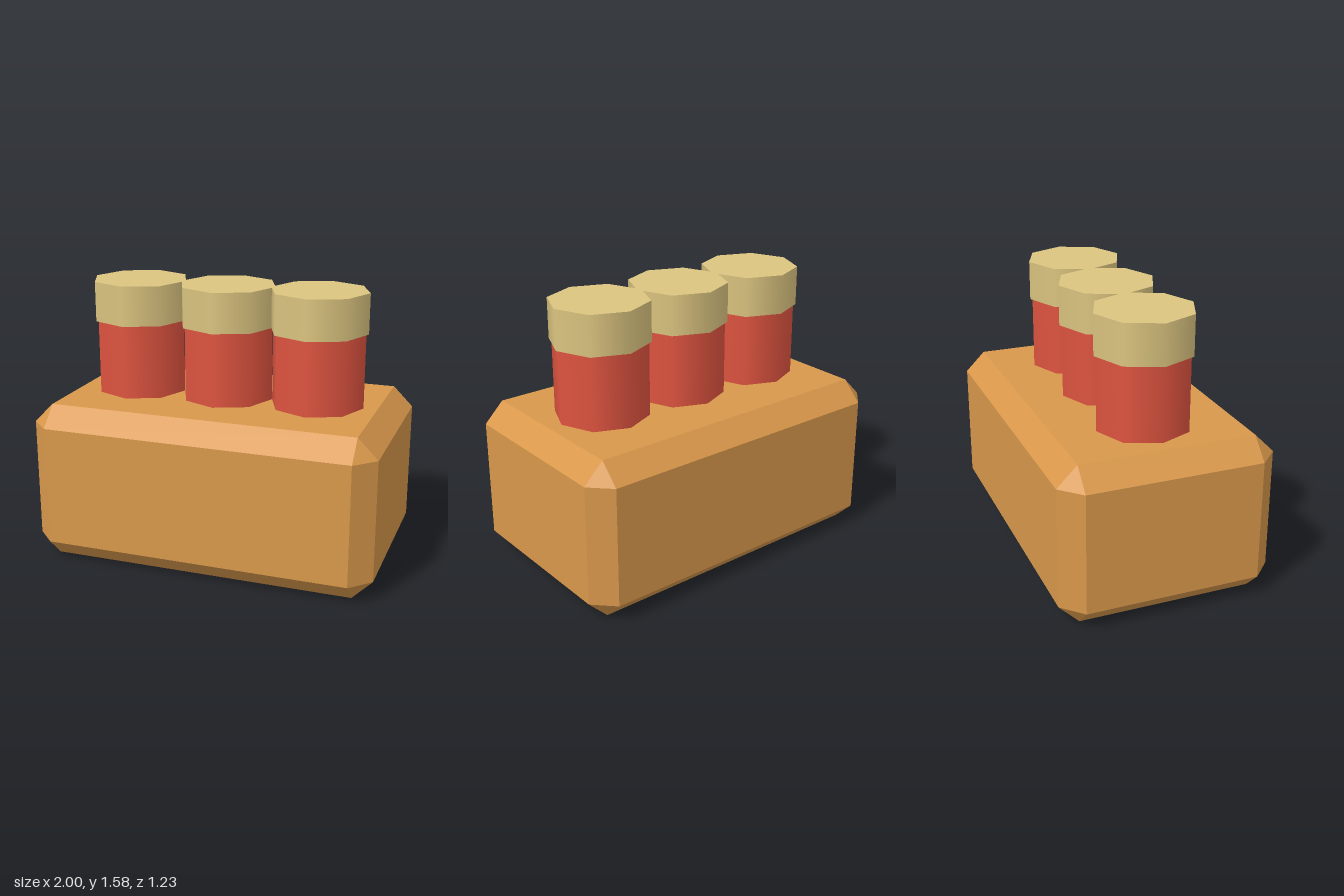
import * as THREE from 'three';
import { ConvexGeometry } from 'three/addons/geometries/ConvexGeometry.js';

function material(name, color) {
  const m = new THREE.MeshStandardMaterial({ color });
  m.name = name;
  return m;
}

// Box with a flat chamfer on every edge and a triangle at every corner
function chamferedBox(w, h, d, c) {
  const points = [];
  for (const x of [-1, 1]) for (const y of [-1, 1]) for (const z of [-1, 1]) {
    for (const [a, b, e] of [[0, c, c], [c, 0, c], [c, c, 0]]) {
      points.push(new THREE.Vector3(x * (w / 2 - a), y * (h / 2 - b), z * (d / 2 - e)));
    }
  }
  return new ConvexGeometry(points);
}

export function createModel() {
  const model = new THREE.Group();
  model.name = 'blockWithCappedPegs';

  const orange = material('orangeBrown', 0xd9984b);
  const red = material('red', 0xdf5440);
  const beige = material('beige', 0xdcc580);

  const add = (name, geometry, mat, x, y, parent = model) => {
    const mesh = new THREE.Mesh(geometry, mat);
    mesh.name = name;
    mesh.position.set(x, y, 0);
    parent.add(mesh);
  };

  // Chamfered base block
  add('baseBlock', chamferedBox(2, 0.923, 1.228, 0.115), orange, 0, 0.4615);

  // Row of eight-sided smooth pegs with slightly wider caps
  const stem = new THREE.CylinderGeometry(0.268, 0.268, 0.45, 8);
  const cap = new THREE.CylinderGeometry(0.282, 0.282, 0.23, 8);
  ['right', 'middle', 'left'].forEach((side, i) => {
    const peg = new THREE.Group();
    peg.name = side + 'Peg';
    peg.position.x = (i - 1) * 0.538;
    add('stem', stem, red, 0, 1.125, peg);
    add('cap', cap, beige, 0, 1.465, peg);
    model.add(peg);
  });

  return model;
}
